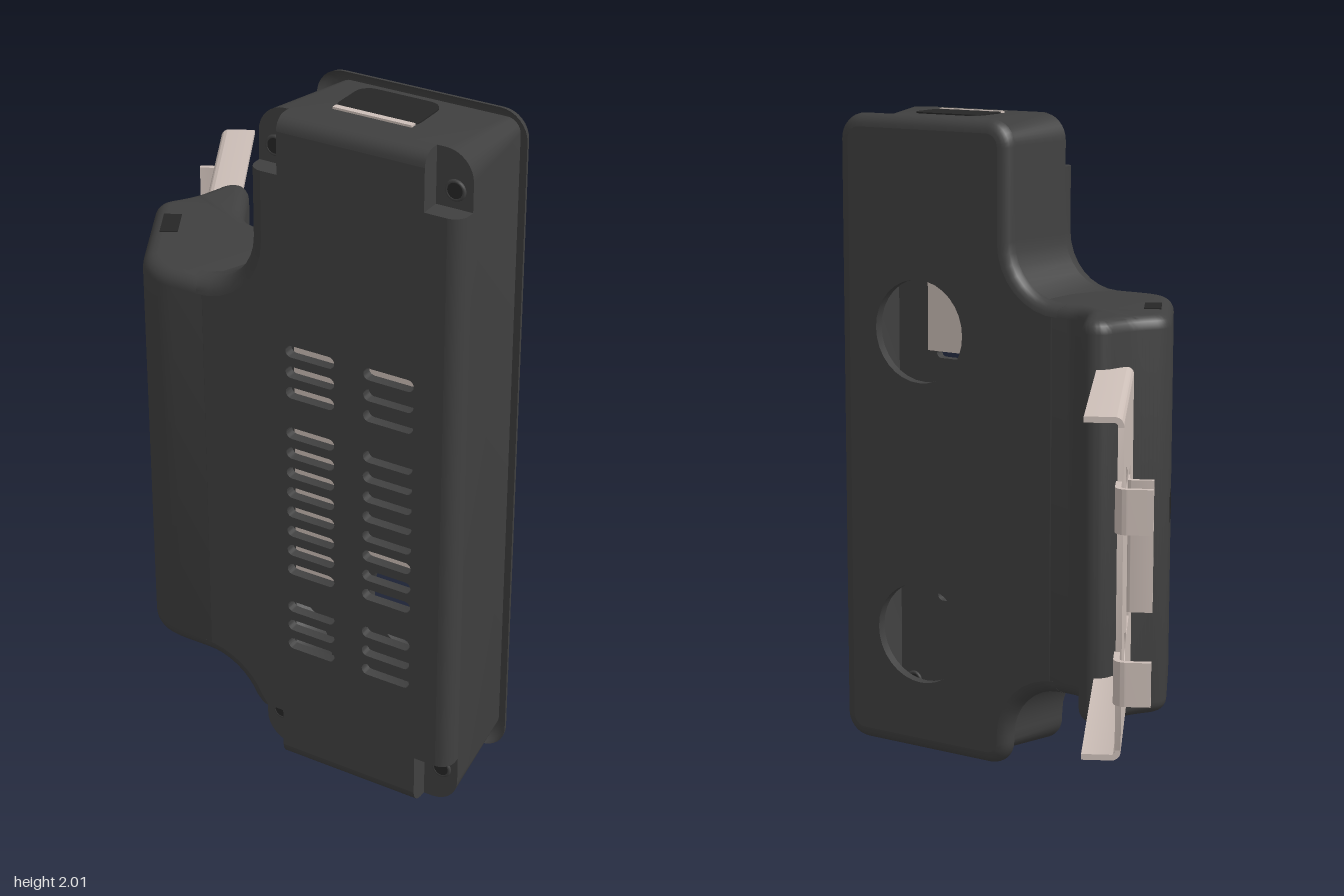
import * as THREE from 'three';
import { toCreasedNormals } from 'three/addons/utils/BufferGeometryUtils.js';

const EDGE = 0.04;                 // edge rounding of the housing
const BACK = 0.245, STEP = 0.57, FRONT = 0.63; // depths in the tilted housing frame
const QUARTER = Math.PI / 2;

function arc(cx, cy, r, from, to, n = 8) {
  return Array.from({ length: n + 1 }, (_, i) => {
    const a = from + (to - from) * i / n;
    return new THREE.Vector2(cx + r * Math.cos(a), cy + r * Math.sin(a));
  });
}

// Counter-clockwise housing outline, inset by d; notched leaves out the screw corners
function outline(d, notched) {
  const u0 = 0.11, u1 = 0.735, wing = -0.08, R = 0.17, r = 0.08;
  const pts = (...c) => c.map(([x, y]) => new THREE.Vector2(x, y));
  const corner = (x, y, from) => arc(x, y, r - d, from, from + QUARTER);
  return [
    ...(notched ? pts([u0 + d, 0.16], [0.2, 0.16], [0.2, d]) : corner(u0 + r, r, Math.PI)),
    ...(notched ? pts([0.63, d], [0.63, 0.16], [u1 - d, 0.16]) : corner(u1 - r, r, -QUARTER)),
    ...(notched ? pts([u1 - d, 1.84], [0.63, 1.84], [0.63, 2 - d]) : corner(u1 - r, 2 - r, 0)),
    ...(notched ? pts([0.2, 2 - d], [0.2, 1.84], [u0 + d, 1.84]) : corner(u0 + r, 2 - r, QUARTER)),
    ...arc(u0 - R, 1.47 + R, R + d, 0, -QUARTER),
    ...pts([wing + d, 1.47 - d], [wing + d, 0.27 + d]),
    ...arc(u0 - R, 0.27 - R, R + d, QUARTER, notched ? 0.44 : 0),
  ];
}

// Side wall lofted through outlines at [depth, inset] levels
function skin(levels, notched) {
  const pos = [], index = [];
  let n = 0;
  levels.forEach(([v, d]) => {
    const ring = outline(d, notched);
    n = ring.length;
    ring.forEach(p => pos.push(p.x, p.y, v));
  });
  for (let k = 0; k < levels.length - 1; k++) {
    for (let j = 0; j < n; j++) {
      const a = k * n + j, b = k * n + (j + 1) % n;
      index.push(a, b, b + n, a, b + n, a + n);
    }
  }
  const g = new THREE.BufferGeometry();
  g.setAttribute('position', new THREE.Float32BufferAttribute(pos, 3));
  g.setIndex(index);
  return toCreasedNormals(g, 0.6);
}

function roundedRect(path, x, y, w, h, r) {
  path.setFromPoints([
    ...arc(x + r, y + r, r, Math.PI, 1.5 * Math.PI, 5), ...arc(x + w - r, y + r, r, -QUARTER, 0, 5),
    ...arc(x + w - r, y + h - r, r, 0, QUARTER, 5), ...arc(x + r, y + h - r, r, QUARTER, Math.PI, 5)]);
  path.closePath();
  return path;
}

const extrude = (shape, depth) => toCreasedNormals(
  new THREE.ExtrudeGeometry(shape, { depth, bevelEnabled: false, curveSegments: 16 }), 0.6);

// Sheet metal bent through a right angle: leg a up, then leg b across
function bentSheet(a, b, r, t, width) {
  const s = new THREE.Shape();
  s.moveTo(0, 0);
  s.lineTo(0, a - r);
  s.absarc(r, a - r, r, Math.PI, QUARTER, true);
  s.lineTo(b, a);
  s.lineTo(b, a - t);
  s.lineTo(r, a - t);
  s.absarc(r, a - r, r - t, QUARTER, Math.PI, false);
  s.lineTo(t, 0);
  return extrude(s, width);
}

export function createModel() {
  const model = new THREE.Group();
  const mat = (name, color) => {
    const m = new THREE.MeshStandardMaterial({ color, side: THREE.DoubleSide });
    m.name = name;
    return m;
  };
  const dark = mat('charcoal plastic', 0x404040);
  const recess = mat('recess black', 0x262626);
  const metal = mat('pale metal', 0xcdbfb8);
  const add = (parent, name, geometry, material, x = 0, y = 0, z = 0) => {
    const m = new THREE.Mesh(geometry, material);
    m.name = name;
    m.position.set(x, y, z);
    parent.add(m);
    return m;
  };

  // Tilted housing: local x along the slab, z through its thickness
  const housing = new THREE.Group();
  housing.name = 'housing';
  housing.rotation.y = -28 * Math.PI / 180;
  model.add(housing);

  const round = Array.from({ length: 6 }, (_, i) => i / 5 * QUARTER);
  const backLevels = round.map(a => [BACK + EDGE * (1 - Math.sin(a)), EDGE * (1 - Math.cos(a))]);
  const frontLevels = round.map(a => [FRONT - EDGE * (1 - Math.sin(a)), EDGE * (1 - Math.cos(a))]);
  add(housing, 'rearShell', skin([...backLevels, [STEP, 0]], false), dark);
  add(housing, 'frontShell', skin([[STEP, 0], ...frontLevels.reverse().sort((p, q) => p[0] - q[0])], true), dark);

  // Back wall with two round openings
  const backWall = new THREE.Shape(outline(EDGE, false));
  for (const y of [0.385, 1.345]) backWall.holes.push(new THREE.Path().absarc(0.435, y, 0.16, 0, Math.PI * 2));
  add(housing, 'backWall', extrude(backWall, 0.03), dark, 0, 0, BACK);

  // Ledge under the screw notches
  const ledge = new THREE.Shape(outline(0, false));
  ledge.holes.push(roundedRect(new THREE.Path(), 0.21, 0.2, 0.41, 1.6, 0.03));
  add(housing, 'screwLedge', new THREE.ShapeGeometry(ledge), dark, 0, 0, STEP);

  // Front wall with two columns of vent slots
  const frontWall = new THREE.Shape(outline(EDGE, true));
  for (let k = 0; k < 16; k++) {
    if (k === 3 || k === 12) continue;
    for (const u of [0.221, 0.459]) {
      frontWall.holes.push(roundedRect(new THREE.Path(), u, 0.388 + k * 0.0622, 0.15, 0.035, 0.017));
    }
  }
  add(housing, 'frontWall', extrude(frontWall, 0.03), dark, 0, 0, FRONT - 0.03);

  // Corner screws
  for (const u of [0.16, 0.685]) {
    for (const y of [0.11, 1.89]) {
      add(housing, 'screwHead', new THREE.TorusGeometry(0.024, 0.006, 8, 20), dark, u, y, STEP);
      add(housing, 'screwHole', new THREE.CylinderGeometry(0.022, 0.022, 0.006, 20).rotateX(QUARTER),
        recess, u, y, STEP + 0.002);
    }
  }

  // Inner board seen through the vents
  add(housing, 'boardStrip', new THREE.BoxGeometry(0.22, 0.86, 0.015), metal, 0.24, 0.94, 0.5);
  add(housing, 'boardTop', new THREE.BoxGeometry(0.23, 0.26, 0.015), metal, 0.455, 1.37, 0.5);
  add(housing, 'boardBottom', new THREE.BoxGeometry(0.23, 0.06, 0.015), metal, 0.455, 0.71, 0.5);

  // Cable port on the top end
  const port = extrude(roundedRect(new THREE.Shape(), 0.29, -0.51, 0.24, 0.16, 0.04), 0.004).rotateX(-QUARTER);
  add(housing, 'topPort', port, recess, 0, 1.999, 0);
  add(housing, 'portContact', new THREE.BoxGeometry(0.23, 0.006, 0.018), metal, 0.41, 2.002, 0.502);

  // Side wing, drawn in plan (x, -z) and raised
  const plan = new THREE.Shape();
  plan.moveTo(-0.071, -0.24);
  plan.lineTo(-0.2, -0.172);
  plan.quadraticCurveTo(-0.255, -0.143, -0.255, -0.07);
  plan.lineTo(-0.255, 0.06);
  plan.quadraticCurveTo(-0.26, 0.107, -0.3, 0.107);
  plan.quadraticCurveTo(-0.33, 0.107, -0.35, 0.08);
  plan.lineTo(-0.39, 0.04);
  plan.quadraticCurveTo(-0.41, 0.02, -0.46, -0.005);
  plan.quadraticCurveTo(-0.51, -0.025, -0.51, -0.07);
  plan.lineTo(-0.51, -0.35);
  plan.quadraticCurveTo(-0.51, -0.443, -0.42, -0.49);
  plan.lineTo(-0.251, -0.58);
  const wing = new THREE.ExtrudeGeometry(plan, {
    depth: 1.2 - 2 * EDGE, curveSegments: 8, bevelEnabled: true,
    bevelSize: EDGE, bevelOffset: -EDGE, bevelThickness: EDGE, bevelSegments: 5,
  }).rotateX(-QUARTER);
  add(model, 'sideWing', toCreasedNormals(wing, 0.6), dark, 0, 0.27 + EDGE, 0);
  for (const y of [0.27, 1.47]) {
    add(model, 'wingRecess', new THREE.BoxGeometry(0.05, 0.006, 0.11), recess, -0.452, y, 0.185);
  }
  for (const z of [0.14, 0.19, 0.24]) {
    add(model, 'wingSlit', new THREE.BoxGeometry(0.004, 0.08, 0.012), recess, -0.51, 0.87, z);
  }

  // Metal bracket: pierced plate, drawn as (-z, y)
  const bracket = new THREE.Group();
  bracket.name = 'bracket';
  model.add(bracket);
  const T = 0.016, X = -0.405;
  const plate = new THREE.Shape();
  roundedRect(plate, 0, 0.425, 0.785, 0.88, 0.004);
  for (const y of [0.64, 1.1]) plate.holes.push(new THREE.Path().absarc(0.555, y, 0.05, 0, Math.PI * 2));
  plate.holes.push(new THREE.Path([
    [0.25, 0.65], [0.445, 0.65], [0.445, 1.09], [0.25, 1.09], [0.25, 1.06],
    [0.295, 1.06], [0.295, 0.68], [0.25, 0.68]].map(p => new THREE.Vector2(...p))));
  add(bracket, 'bracketPlate', extrude(plate, T).rotateY(QUARTER), metal, X, 0, 0);

  // Folded flanges along the plate's upper and lower edges
  add(bracket, 'upperFlange', bentSheet(0.03, 0.105, 0.025, T, 0.785), metal, X, 1.3, -0.785);
  add(bracket, 'lowerFlange', bentSheet(0.03, 0.105, 0.025, T, 0.785).rotateX(Math.PI), metal, X, 0.43, 0);

  // Hooks and latch tab fold toward -x
  const fold = new THREE.Matrix4().makeBasis(
    new THREE.Vector3(-1, 0, 0), new THREE.Vector3(0, 0, -1), new THREE.Vector3(0, -1, 0));
  for (const top of [0.7, 1.16]) {
    add(bracket, 'endHook', bentSheet(0.1, 0.1, 0.035, T, 0.12).applyMatrix4(fold), metal, X + T + 0.004, top, -0.78);
  }
  add(bracket, 'latchTab', bentSheet(0.035, 0.085, 0.03, T, 0.38).applyMatrix4(fold), metal, X + T, 1.06, -0.29);

  return model;
}
